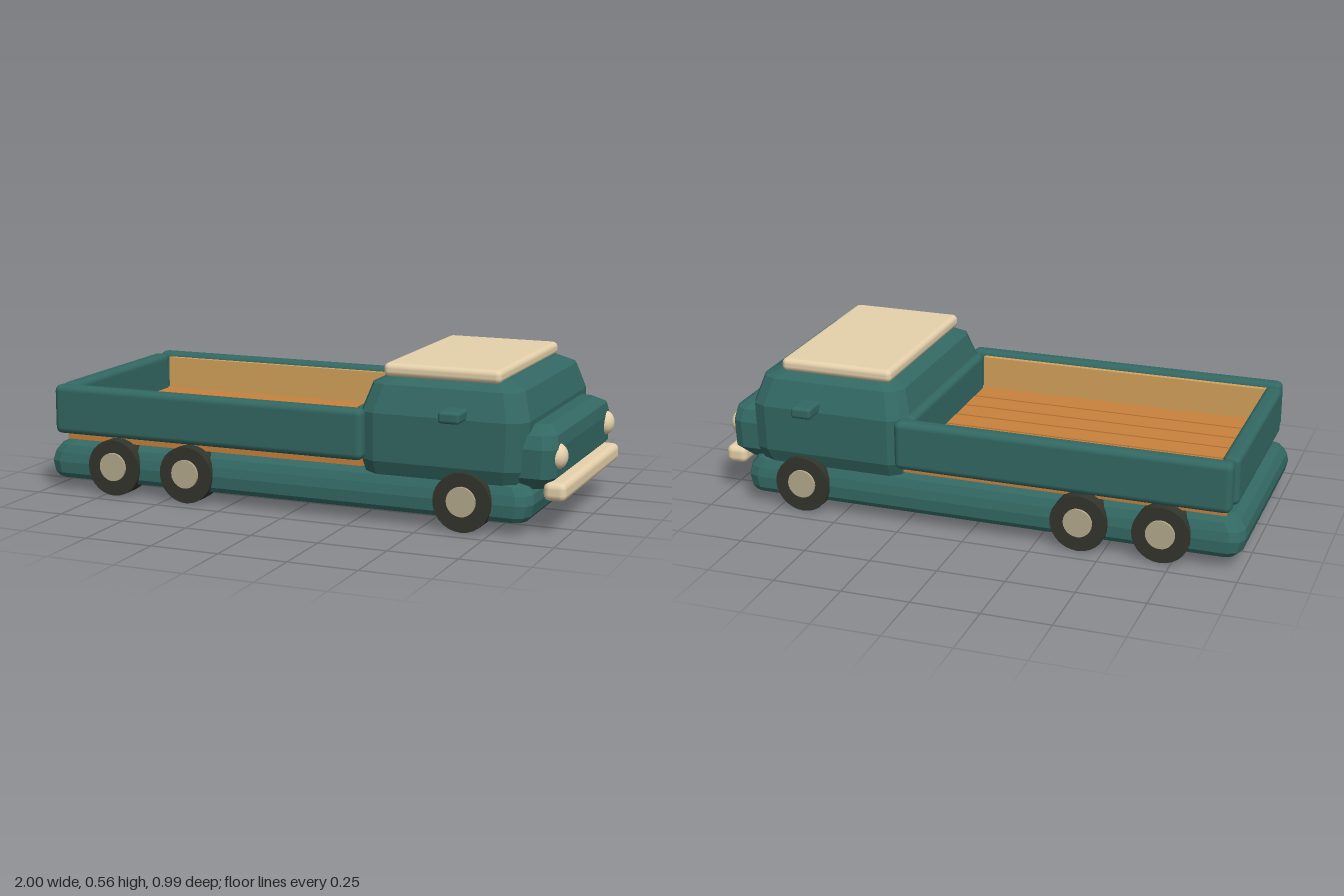
import * as THREE from 'three';
import { RoundedBoxGeometry } from 'three/addons/geometries/RoundedBoxGeometry.js';

const mat = (name, color) => {
  const m = new THREE.MeshStandardMaterial({ color });
  m.name = name;
  return m;
};

// Faceted body lofted through horizontal rings [y, x0, x1, halfZ, cornerCut]
function loft(rings) {
  const rows = rings.map(([y, x0, x1, hz, c]) => {
    const pts = [];
    const corners = [[x1, hz, 1, 1], [x0, hz, -1, 1], [x0, -hz, -1, -1], [x1, -hz, 1, -1]];
    corners.forEach(([x, z, sx, sz], i) => {
      const arc = [[0, c], [0.3 * c, 0.3 * c], [c, 0]];
      if (i % 2) arc.reverse();
      arc.forEach(([dx, dz]) => pts.push([x - sx * dx, y, z - sz * dz]));
    });
    return pts;
  });
  const n = rows[0].length, pos = [];
  const tri = (a, b, c) => pos.push(...a, ...b, ...c);
  for (let r = 0; r < rows.length - 1; r++) {
    for (let i = 0; i < n; i++) {
      const j = (i + 1) % n;
      const [a, b, c, d] = [rows[r][i], rows[r][j], rows[r + 1][j], rows[r + 1][i]];
      tri(a, c, b);
      tri(a, d, c);
    }
  }
  const bottom = rows[0], top = rows[rows.length - 1];
  for (let i = 1; i < n - 1; i++) {
    tri(bottom[0], bottom[i], bottom[i + 1]);
    tri(top[0], top[i + 1], top[i]);
  }
  const g = new THREE.BufferGeometry();
  g.setAttribute('position', new THREE.Float32BufferAttribute(pos, 3));
  g.computeVertexNormals();
  return g;
}

export function createModel() {
  const truck = new THREE.Group();
  truck.name = 'flatbedTruck';
  const teal = mat('teal paint', 0x336863);
  const cream = mat('cream trim', 0xe6d1ab);
  const wood = mat('plank wood', 0xc8823c);
  const groove = mat('dark plank gap', 0x5f3d20);
  const lining = mat('pale lining wood', 0xd6a45c);
  const rubber = mat('tyre rubber', 0x32352c);
  const hubMetal = mat('hub metal', 0xb5aa8c);

  const add = (name, geo, material, x = 0, y = 0, z = 0) => {
    const m = new THREE.Mesh(geo, material);
    m.name = name;
    m.position.set(x, y, z);
    truck.add(m);
    return m;
  };
  // Boxes given by their extents; a radius rounds the edges
  const box = (name, material, [x0, x1], [y0, y1], [z0, z1], r = 0) => {
    const s = [x1 - x0, y1 - y0, z1 - z0];
    const g = r ? new RoundedBoxGeometry(...s, 2, r) : new THREE.BoxGeometry(...s);
    return add(name, g, material, (x0 + x1) / 2, (y0 + y1) / 2, (z0 + z1) / 2);
  };

  // Chassis slab
  add('chassis', loft([
    [0.047, -0.97, 0.865, 0.415, 0.04],
    [0.065, -0.99, 0.88, 0.425, 0.05],
    [0.107, -1.0, 0.89, 0.425, 0.05],
    [0.14, -0.995, 0.885, 0.415, 0.05],
    [0.168, -0.975, 0.865, 0.4, 0.05],
    [0.182, -0.945, 0.835, 0.365, 0.04],
  ]), teal);

  // Cab, slightly narrower than the load bed and the tyres
  add('cab', loft([
    [0.163, 0.26, 0.84, 0.395, 0.06],
    [0.22, 0.25, 0.86, 0.418, 0.065],
    [0.39, 0.25, 0.865, 0.42, 0.065],
    [0.487, 0.28, 0.835, 0.38, 0.06],
    [0.518, 0.345, 0.765, 0.33, 0.05],
  ]), teal);

  // Nose in front of the cab
  add('nose', loft([
    [0.155, 0.79, 0.91, 0.345, 0.035],
    [0.2, 0.77, 0.957, 0.385, 0.045],
    [0.3, 0.77, 0.962, 0.385, 0.045],
    [0.345, 0.78, 0.955, 0.365, 0.045],
    [0.373, 0.8, 0.915, 0.3, 0.035],
  ]), teal);

  // Roof panel and bumper
  box('roofPanel', cream, [0.325, 0.757], [0.508, 0.557], [-0.352, 0.352], 0.02);
  box('bumper', cream, [0.915, 0.997], [0.12, 0.187], [-0.368, 0.368], 0.024);

  // Load bed: plank floor with dark gaps
  const pitch = 0.103;
  box('bedBase', groove, [-0.925, 0.26], [0.194, 0.252], [-0.385, 0.385]);
  for (let i = -3; i <= 3; i++) {
    const h = pitch / 2 - 0.005;
    const z0 = i === -3 ? -0.39 : i * pitch - h;
    const z1 = i === 3 ? 0.39 : i * pitch + h;
    box('floorPlank', wood, [-0.93, 0.265], [0.19, 0.26], [z0, z1]);
  }

  // End boards
  box('tailBoard', teal, [-0.965, -0.9], [0.22, 0.4], [-0.37, 0.37], 0.022);
  box('headBoard', teal, [0.225, 0.285], [0.22, 0.4], [-0.37, 0.37], 0.022);

  // Parts mirrored on both sides
  for (const s of [1, -1]) {
    const span = (a, b) => (s > 0 ? [a, b] : [-b, -a]);
    box('sideBoard', teal, [-0.955, 0.282], [0.218, 0.403], span(0.384, 0.447), 0.024);
    box('sideLining', lining, [-0.9, 0.225], [0.24, 0.385], span(0.366, 0.388));
    box('mirror', teal, [0.58, 0.658], [0.388, 0.43], span(0.395, 0.497), 0.012);

    const lamp = add('headlight', new THREE.SphereGeometry(0.045, 24, 16), cream, 0.952, 0.27, s * 0.31);
    lamp.scale.x = 0.78;

    for (const x of [-0.711, -0.412, 0.65]) {
      const tyre = add('tyre', new THREE.CylinderGeometry(0.105, 0.105, 0.08, 28), rubber, x, 0.108, s * 0.398);
      const hub = add('hub', new THREE.CylinderGeometry(0.053, 0.053, 0.06, 24), hubMetal, x, 0.11, s * 0.417);
      tyre.position.y = 0.105;
      tyre.rotation.x = hub.rotation.x = Math.PI / 2;
    }
  }
  return truck;
}
